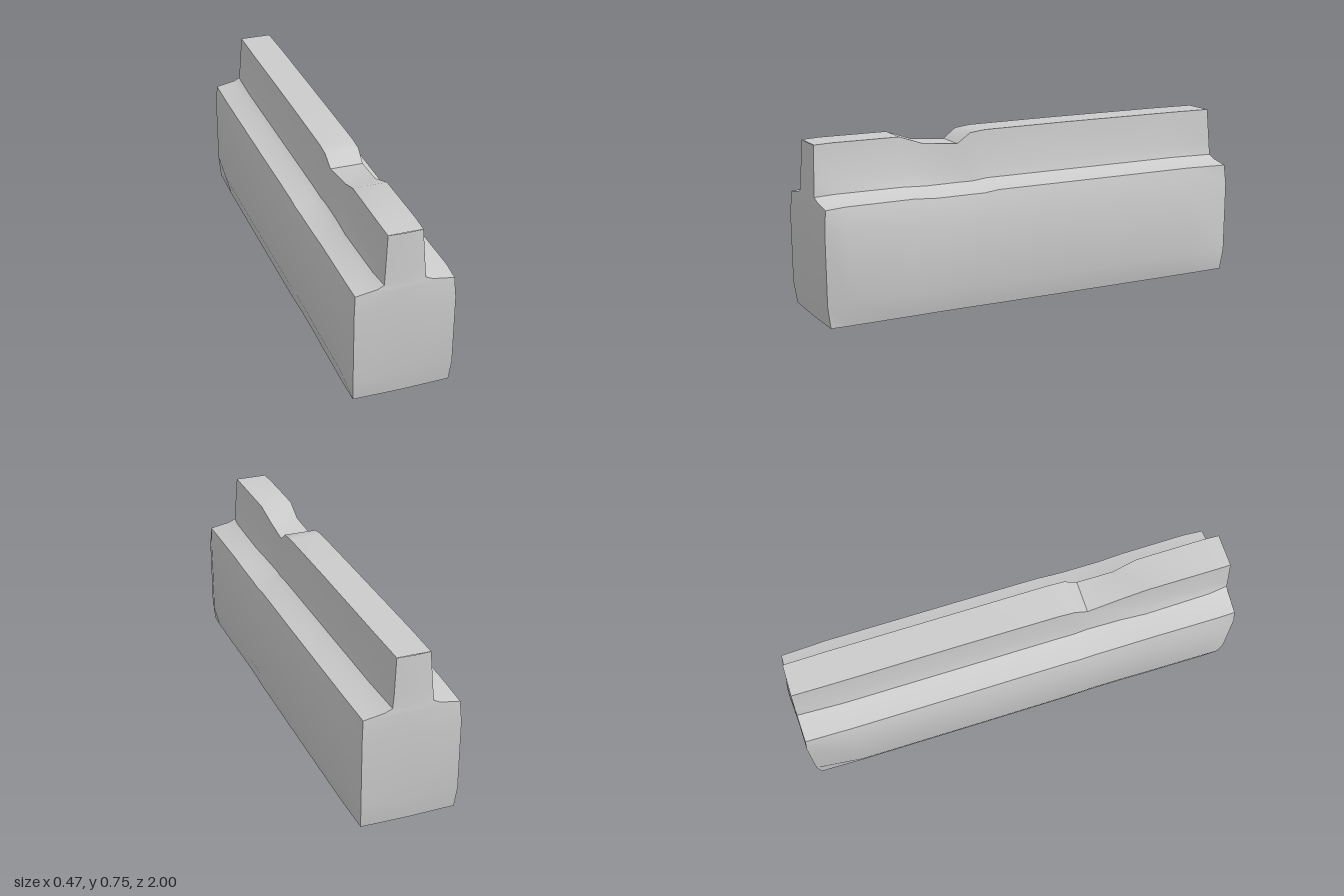
import * as THREE from 'three';
import { toCreasedNormals } from 'three/addons/utils/BufferGeometryUtils.js';

// Stations along the length: z, body half width, stem foot half width, stem top half width, top height
const stations = [
  [-0.98, 0.213, 0.088, 0.072, 0.75],
  [-0.78, 0.236, 0.098, 0.074, 0.752],
  [-0.2, 0.236, 0.098, 0.074, 0.753],
  [0.2, 0.235, 0.098, 0.075, 0.751],
  [0.27, 0.234, 0.096, 0.075, 0.743],
  [0.33, 0.232, 0.092, 0.072, 0.7],
  [0.49, 0.232, 0.095, 0.066, 0.714],
  [0.6, 0.234, 0.105, 0.074, 0.753],
  [0.9, 0.236, 0.1, 0.075, 0.754],
  [0.98, 0.215, 0.087, 0.073, 0.751],
];

// Right half of a cross-section, from the base up to the top of the rail
function halfProfile([z, w, foot, stem, top]) {
  const shoulder = Math.abs(z) > 0.95 ? 0.505 : 0.512 - 0.008 * (z > 0.25 && z < 0.55);
  return [
    [w - (w > 0.22 ? 0.025 : 0.006), 0.003],
    [w, 0.1],
    [w, 0.415],
    [w - (w > 0.22 ? 0.023 : 0.006), shoulder],
    [foot + 0.03, shoulder + 0.016],
    [foot, shoulder + 0.03],
    [Math.min(foot, stem + 0.01), 0.595],
    [stem, top],
  ];
}

// Slight outward bulge of the end faces: by height row, at the edge and in the middle
const edgeBulge = [0, 0.014, 0.016, 0.008, 0.01, 0.01, 0.008, 0];
const middleBulge = [0.004, 0.019, 0.02, 0.02, 0.02, 0.019, 0.016, 0.003];
const shift = -0.003; // the rail sits a touch off centre

function barGeometry() {
  const pos = [];
  const quad = (a, b, c, d) => pos.push(...a, ...b, ...c, ...a, ...c, ...d);

  const rings = stations.map((s) => {
    const dir = Math.abs(s[0]) > 0.95 ? Math.sign(s[0]) : 0;
    const half = halfProfile(s);
    const point = (side) => ([x, y], i) =>
      [side * x + (i > 4 ? shift : 0), y, s[0] + dir * edgeBulge[i]];
    return [...half.map(point(1)), ...half.map(point(-1)).reverse()];
  });

  // Long sides
  const n = rings[0].length;
  for (let k = 0; k < rings.length - 1; k++) {
    for (let i = 0; i < n; i++) {
      const j = (i + 1) % n;
      quad(rings[k][i], rings[k][j], rings[k + 1][j], rings[k + 1][i]);
    }
  }

  // Bulged ends, one row of quads per height step
  for (const [ring, dir] of [[rings[0], -1], [rings[rings.length - 1], 1]]) {
    const mid = (i) => [0, ring[i][1], dir * (0.98 + middleBulge[i])];
    for (let i = 0; i < n / 2 - 1; i++) {
      const r0 = ring[i], r1 = ring[i + 1];
      const l0 = ring[n - 1 - i], l1 = ring[n - 2 - i];
      const m0 = mid(i), m1 = mid(i + 1);
      if (dir > 0) {
        quad(m0, r0, r1, m1);
        quad(l0, m0, m1, l1);
      } else {
        quad(r0, m0, m1, r1);
        quad(m0, l0, l1, m1);
      }
    }
  }

  const geometry = new THREE.BufferGeometry();
  geometry.setAttribute('position', new THREE.Float32BufferAttribute(pos, 3));
  return toCreasedNormals(geometry, THREE.MathUtils.degToRad(30));
}

export function createModel() {
  const group = new THREE.Group();
  group.name = 'notchedRailBar';
  const bar = new THREE.Mesh(barGeometry(), new THREE.MeshStandardMaterial({ color: 0xcccccc }));
  bar.name = 'barWithRail';
  group.add(bar);
  return group;
}
